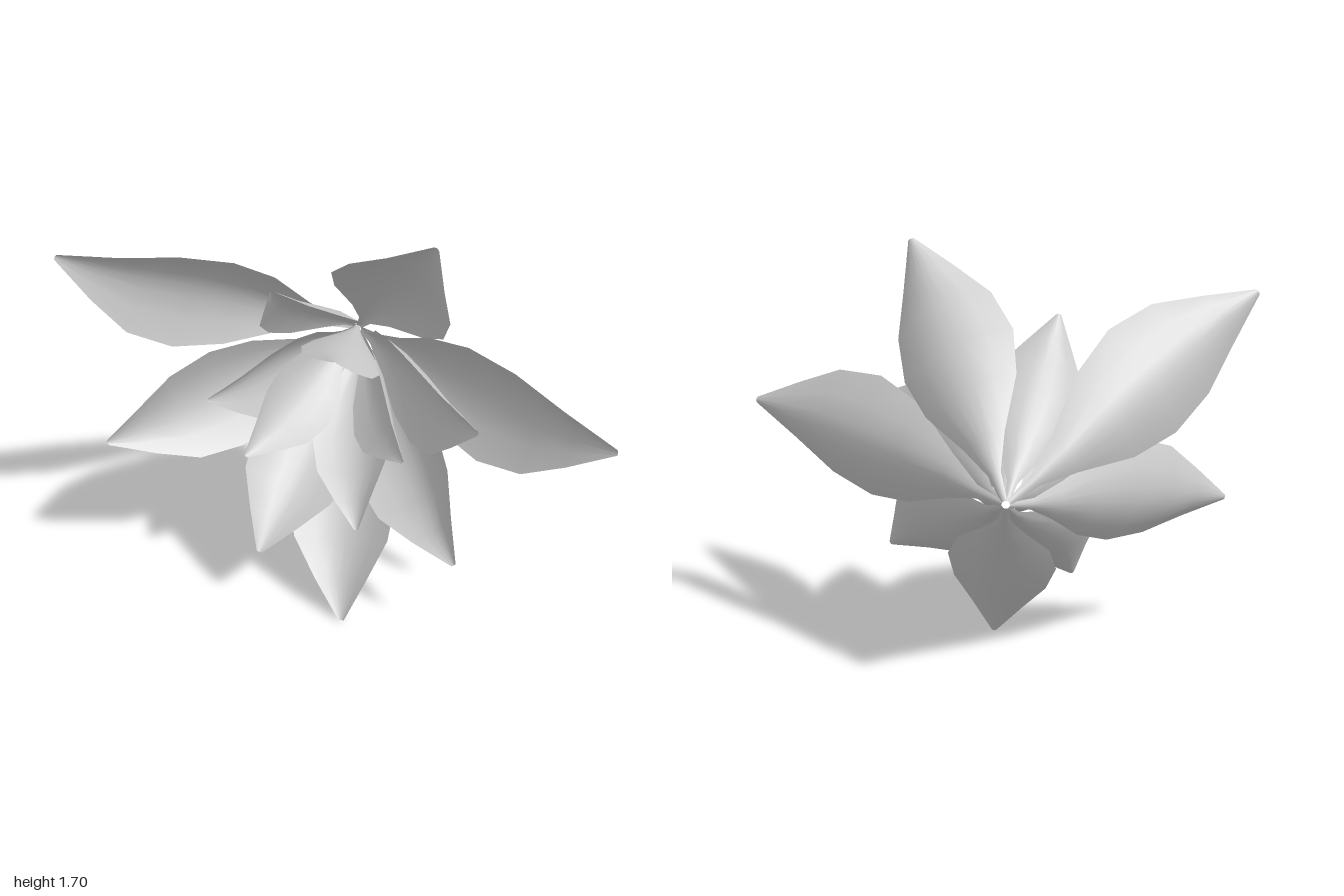
import * as THREE from 'three';

// Petal stations: [fraction along the length, fraction of the half width,
// forward lift of the midrib per length, share of the petal's own bow]
const STATIONS = [
  [0, 0.05, 0, 0], [0.1, 0.11, 0, 0.2], [0.22, 0.36, 0, 0.7], [0.4, 0.82, 0, 1],
  [0.56, 1, 0, 0.6], [0.72, 0.87, 0.006, 0.2], [0.86, 0.48, 0.01, 0], [1, 0.05, 0, 0],
];
const ACROSS = [-1, -0.6, -0.25, 0, 0.25, 0.6, 1];
const CUP = 0.41;
const HEART = new THREE.Vector3(-0.09, 0.9, -0.385);

// Cupped petal running from the heart of the flower to its tip
function petalGeometry(tip, halfWidth, bow) {
  const axis = new THREE.Vector3(0, 0, 1);
  const end = new THREE.Vector3(...tip);
  const outward = end.clone().sub(HEART).setZ(0).normalize();
  const start = HEART.clone().addScaledVector(outward, 0.015);
  const along = end.clone().sub(start);
  const length = along.length();
  const side = axis.clone().cross(along).normalize();
  const inward = along.clone().cross(side).normalize();

  const positions = [], index = [], n = ACROSS.length;
  STATIONS.forEach(([t, w, lift, share], i) => {
    const half = w * halfWidth;
    ACROSS.forEach((s, j) => {
      const p = start.clone().addScaledVector(along, t)
        .addScaledVector(side, s * half)
        .addScaledVector(inward, s * s * half * CUP + lift * length + share * bow);
      positions.push(p.x, p.y, p.z);
      if (i < STATIONS.length - 1 && j < n - 1) {
        const a = i * n + j, b = a + n;
        index.push(a, b, a + 1, b, b + 1, a + 1);
      }
    });
  });
  const geometry = new THREE.BufferGeometry();
  geometry.setAttribute('position', new THREE.Float32BufferAttribute(positions, 3));
  geometry.setIndex(index);
  geometry.computeVertexNormals();
  return geometry;
}

// Each ring of petals: [tip x, tip y, tip z, half width, forward bow]
const RINGS = {
  outerPetal: [
    [-1, 1.515, 0.35, 0.24, -0.025],
    [0.34, 1.7, 0.32, 0.235, -0.02],
    [1, 1.015, 0.36, 0.25, 0.02],
    [0.02, 0, 0.36, 0.22, 0.01],
    [-0.92, 0.68, 0.3, 0.22, 0],
  ],
  middlePetal: [
    [-0.24, 1.43, 0.27, 0.182, 0],
    [0.52, 1.03, 0.38, 0.235, 0],
    [0.46, 0.39, 0.365, 0.22, 0],
    [-0.31, 0.29, 0.355, 0.208, 0],
    [-0.48, 0.98, 0.34, 0.175, 0],
  ],
  innerPetal: [
    [-0.01, 1.19, 0.3, 0.158, 0],
    [0.25, 0.82, 0.335, 0.183, 0],
    [0.07, 0.44, 0.31, 0.163, 0],
    [-0.36, 0.72, 0.31, 0.155, 0],
  ],
};

export function createModel() {
  const petalGrey = new THREE.MeshStandardMaterial({ color: 0xcccccc, side: THREE.DoubleSide });
  petalGrey.name = 'petalGrey';

  const flower = new THREE.Group();
  flower.name = 'flower';
  for (const [name, petals] of Object.entries(RINGS)) {
    const ring = new THREE.Group();
    ring.name = name + 's';
    for (const [x, y, z, halfWidth, bow] of petals) {
      const petal = new THREE.Mesh(petalGeometry([x, y, z], halfWidth, bow), petalGrey);
      petal.name = name;
      ring.add(petal);
    }
    flower.add(ring);
  }
  return flower;
}
